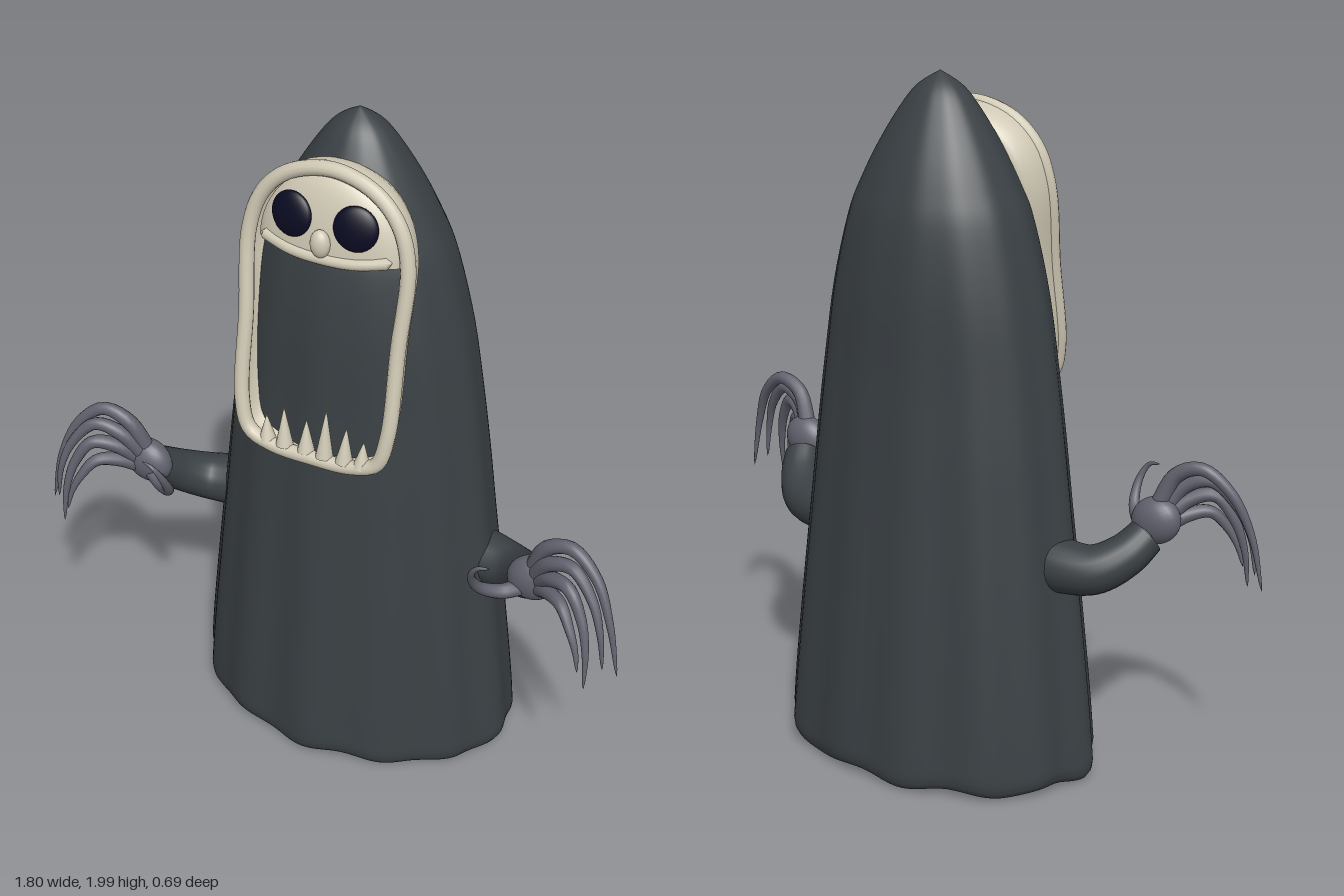
import * as THREE from 'three';
import { mergeVertices } from 'three/addons/utils/BufferGeometryUtils.js';

const V = (x, y, z) => new THREE.Vector3(x, y, z);

export function createModel() {
  const model = new THREE.Group();
  model.name = 'hoodedGhost';
  const mat = (name, color, side = THREE.FrontSide) => {
    const m = new THREE.MeshStandardMaterial({ color, side });
    m.name = name;
    return m;
  };
  const cloth = mat('darkCloth', 0x3a4044);
  const bone = mat('bone', 0xcfc8b4, THREE.DoubleSide);
  const skin = mat('greyPurpleSkin', 0x62626f);
  const navy = mat('eyeNavy', 0x0b0b22);

  const add = (parent, name, geometry, material, pos = [0, 0, 0], scale = [1, 1, 1]) => {
    const mesh = new THREE.Mesh(geometry, material);
    mesh.name = name;
    mesh.position.set(...pos);
    mesh.scale.set(...scale);
    parent.add(mesh);
    return mesh;
  };

  // Tube whose radius follows a function of t along the path
  const taperTube = (points, radius, segs = 28, sides = 12) => {
    const curve = new THREE.CatmullRomCurve3(points);
    const g = new THREE.TubeGeometry(curve, segs, 1, sides);
    const p = g.attributes.position, v = V(0, 0, 0);
    for (let i = 0; i < p.count; i++) {
      const t = Math.floor(i / (sides + 1)) / segs;
      const c = curve.getPointAt(t);
      v.fromBufferAttribute(p, i).sub(c).multiplyScalar(radius(t)).add(c);
      p.setXYZ(i, v.x, v.y, v.z);
    }
    return g;
  };

  // Robe: a lathe pressed to an oval and rippled into folds that fade upward
  const side = new THREE.SplineCurve([
    [0.49, 0.06], [0.477, 0.2], [0.455, 0.4], [0.432, 0.6], [0.408, 0.8], [0.385, 1], [0.358, 1.2],
    [0.324, 1.4], [0.272, 1.6], [0.23, 1.7], [0.178, 1.8], [0.115, 1.9], [0.065, 1.96], [0, 2],
  ].map(([x, y]) => new THREE.Vector2(x, y)));
  const hem = [[0, 0.012], [0.25, 0.012], [0.4, 0.012], [0.455, 0.014], [0.477, 0.022], [0.487, 0.038]];
  const profile = hem.map(([x, y]) => new THREE.Vector2(x, y)).concat(side.getPoints(56));
  profile[profile.length - 1].x = 0;
  let robe = new THREE.LatheGeometry(profile, 128);
  const rp = robe.attributes.position;
  for (let i = 0; i < rp.count; i++) {
    const x = rp.getX(i), y = rp.getY(i), z = rp.getZ(i);
    const a = Math.atan2(x, z);
    const fade = 1 - THREE.MathUtils.smoothstep(y, 0.2, 1.95);
    const fold = 1 + (0.006 + 0.022 * fade) *
      (0.6 * Math.cos(13 * a + 0.6) + 0.4 * Math.sin(8 * a + 1) + 0.25 * Math.cos(5 * a));
    const oval = 0.69 + 0.14 * THREE.MathUtils.smoothstep(y, 1.1, 1.85);
    const lift = y < 0.1 ? 0.008 * Math.sin(9 * a) * Math.hypot(x, z) / 0.49 : 0;
    rp.setXYZ(i, x * fold, y + lift, z * fold * oval);
  }
  robe.deleteAttribute('uv');
  robe.deleteAttribute('normal');
  robe = mergeVertices(robe, 1e-5);
  robe.computeVertexNormals();
  add(model, 'robe', robe, cloth);

  // Mask rim: closed outline, leaning forward toward the jaw
  const half = [[0.12, 1.862, 0.165], [0.195, 1.79, 0.175], [0.23, 1.68, 0.19], [0.224, 1.45, 0.232],
    [0.219, 1.2, 0.28], [0.192, 1.112, 0.292], [0.12, 1.084, 0.297]];
  const outline = [V(0, 1.893, 0.16), ...half.map(p => V(...p)), V(0, 1.08, 0.3),
    ...half.slice().reverse().map(([x, y, z]) => V(-x, y, z))];
  const rimCurve = new THREE.CatmullRomCurve3(outline, true);
  const mask = new THREE.Group();
  mask.name = 'mask';
  model.add(mask);
  add(mask, 'maskRim', new THREE.TubeGeometry(rimCurve, 120, 0.021, 12, true), bone);

  // Mask wall: lofted loops from the rim back into the robe
  const loops = [[1.03, 0], [1.04, 0.03], [1.0, 0.065], [0.94, 0.09], [0.86, 0.1], [0.72, 0.105]];
  const N = 96, wallPos = [], wallIdx = [];
  loops.forEach(([s, dz], j) => {
    for (let i = 0; i < N; i++) {
      const p = rimCurve.getPointAt(i / N);
      wallPos.push(p.x * s, 1.49 + (p.y - 1.49) * (1 + (s - 1) * 0.6), p.z - dz);
      if (j === 0) continue;
      const a = (j - 1) * N + i, b = (j - 1) * N + (i + 1) % N;
      wallIdx.push(a, b, a + N, b, b + N, a + N);
    }
  });
  const wall = new THREE.BufferGeometry();
  wall.setAttribute('position', new THREE.Float32BufferAttribute(wallPos, 3));
  wall.setIndex(wallIdx);
  wall.computeVertexNormals();
  add(mask, 'maskWall', wall, bone);

  // Skull: domed brow, upper jaw bar and nose
  const brow = new THREE.SphereGeometry(1, 40, 20, 0, Math.PI * 2, 0, Math.PI / 2);
  add(mask, 'brow', brow, bone, [0, 1.665, 0.172], [0.205, 0.215, 0.06]).rotation.x = -0.1;
  const bar = [V(-0.188, 1.685, 0.195), V(-0.09, 1.67, 0.22), V(0, 1.667, 0.226),
    V(0.09, 1.67, 0.22), V(0.188, 1.685, 0.195)];
  add(mask, 'upperJaw', taperTube(bar, t => (t === 0 || t === 1 ? 0.001 : 0.017)), bone);
  add(mask, 'nose', new THREE.SphereGeometry(1, 20, 14), bone, [0, 1.712, 0.23], [0.028, 0.04, 0.024]);

  // Eyes
  for (const s of [-1, 1]) {
    const eye = add(mask, 'eye', new THREE.SphereGeometry(1, 32, 16), navy,
      [s * 0.092, 1.768, 0.209], [0.061, 0.062, 0.02]);
    eye.rotation.set(-0.18, s * 0.14, 0);
  }

  // Lower teeth: [x, height]
  for (const [x, h] of [[-0.138, 0.08], [-0.085, 0.12], [-0.018, 0.1], [0.04, 0.15], [0.1, 0.11], [0.152, 0.08]]) {
    const tooth = add(mask, 'tooth', new THREE.ConeGeometry(0.025, h, 14), bone, [x, 1.093 + h / 2, 0.29]);
    tooth.rotation.set(-0.08, 0, -x * 0.4);
  }

  // Arms: sleeve, palm, four hooked fingers and a thumb on each side
  const fingers = [
    [[0.61, 0.82, 0.17], [0.655, 0.92, 0.19], [0.73, 0.95, 0.2], [0.81, 0.89, 0.22], [0.865, 0.77, 0.245], [0.9, 0.61, 0.255]],
    [[0.62, 0.81, 0.18], [0.67, 0.885, 0.21], [0.745, 0.91, 0.23], [0.815, 0.84, 0.255], [0.85, 0.75, 0.275], [0.865, 0.64, 0.28]],
    [[0.63, 0.79, 0.18], [0.68, 0.845, 0.22], [0.745, 0.86, 0.255], [0.795, 0.79, 0.28], [0.82, 0.7, 0.3], [0.828, 0.585, 0.315]],
    [[0.63, 0.77, 0.18], [0.68, 0.8, 0.225], [0.73, 0.805, 0.265], [0.77, 0.755, 0.295], [0.795, 0.7, 0.31], [0.808, 0.64, 0.32]],
  ];
  const thumb = [[0.6, 0.765, 0.18], [0.54, 0.745, 0.215], [0.49, 0.775, 0.26], [0.482, 0.84, 0.3], [0.505, 0.885, 0.315], [0.54, 0.893, 0.31]];
  const sleeve = [[0.34, 0.67, 0], [0.42, 0.66, 0], [0.5, 0.662, 0.02], [0.565, 0.7, 0.075], [0.605, 0.755, 0.14]];
  const digitRadius = t => 0.026 * Math.sqrt(Math.max(1 - t, 0)) * (1 - 0.35 * t) + 0.0005;
  for (const s of [-1, 1]) {
    const arm = new THREE.Group();
    arm.name = s > 0 ? 'leftArm' : 'rightArm';
    model.add(arm);
    const path = pts => pts.map(([x, y, z]) => V(s * x, y, z));
    add(arm, 'sleeve', taperTube(path(sleeve), t => (t === 1 ? 0.001 : 0.084 - 0.03 * t), 28, 20), cloth);
    const palm = add(arm, 'palm', new THREE.SphereGeometry(1, 24, 16), skin,
      [s * 0.61, 0.785, 0.168], [0.076, 0.068, 0.048]);
    palm.rotation.z = s * 0.5;
    fingers.forEach(f => add(arm, 'finger', taperTube(path(f), digitRadius), skin));
    add(arm, 'thumb', taperTube(path(thumb), digitRadius), skin);
  }
  return model;
}
